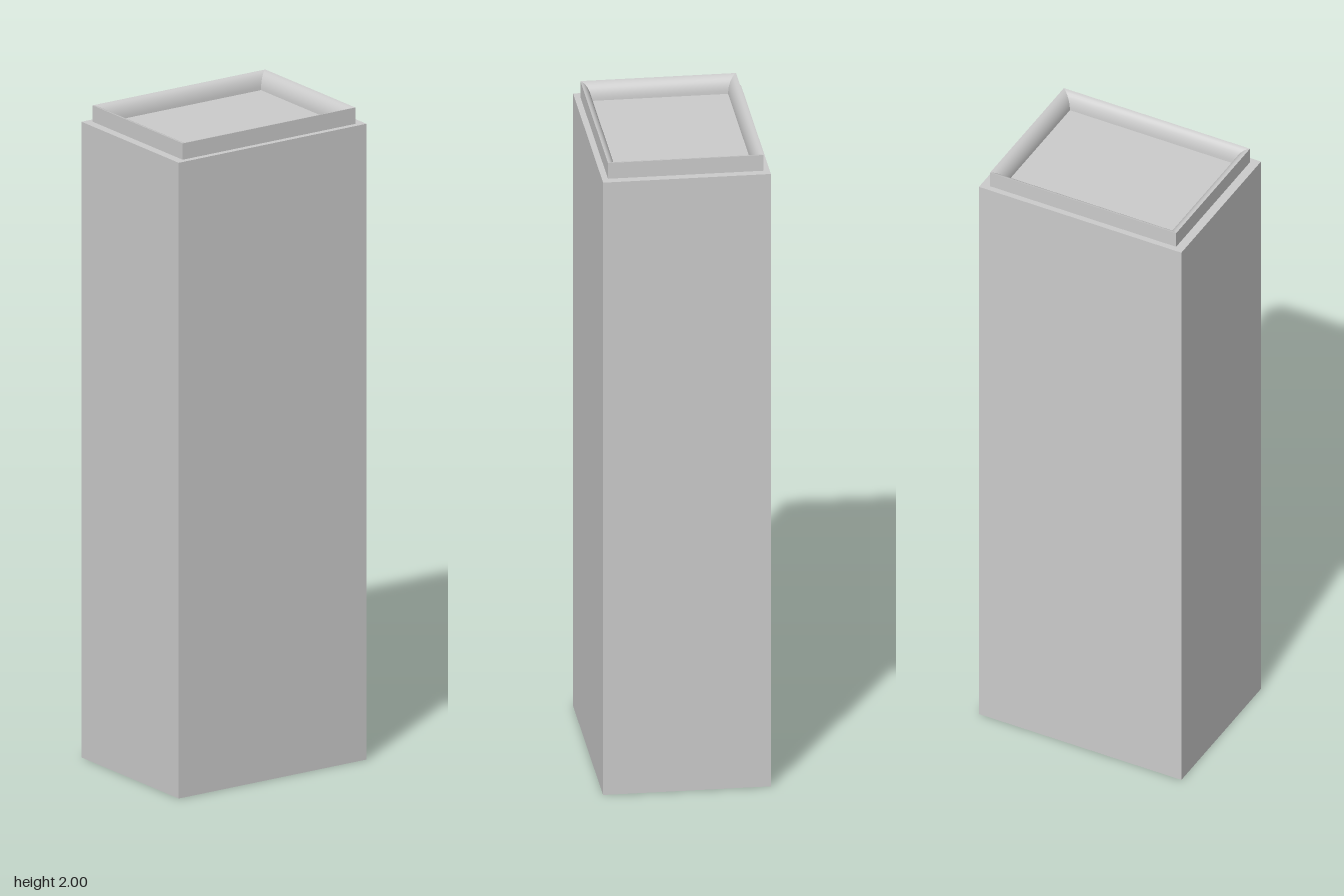
import * as THREE from 'three';

const material = new THREE.MeshStandardMaterial({ color: 0xcccccc, side: THREE.DoubleSide });

// Skin between successive rectangles [halfX, halfZ, y]; one strip per side keeps corners sharp.
function rectangularSkin(name, rings) {
  const corners = [[-1, 1], [1, 1], [1, -1], [-1, -1]];
  const positions = [], indices = [];
  for (let side = 0; side < 4; side++) {
    const start = positions.length / 3;
    for (const [hx, hz, y] of rings) {
      for (const [sx, sz] of [corners[side], corners[(side + 1) % 4]]) {
        positions.push(sx * hx, y, sz * hz);
      }
    }
    for (let i = 0; i < rings.length - 1; i++) {
      const a = start + i * 2;
      indices.push(a, a + 1, a + 3, a, a + 3, a + 2);
    }
  }
  const geometry = new THREE.BufferGeometry();
  geometry.setAttribute('position', new THREE.Float32BufferAttribute(positions, 3));
  geometry.setIndex(indices);
  geometry.computeVertexNormals();
  const mesh = new THREE.Mesh(geometry, material);
  mesh.name = name;
  return mesh;
}

export function createModel() {
  const group = new THREE.Group();
  group.name = 'pillar';

  const body = [0.248, 0.336], rim = [0.23, 0.309], inner = [0.202, 0.274];
  const shoulderY = 1.95, topY = 2;

  // Hollow shaft, open underneath, with a narrow ledge on top
  group.add(rectangularSkin('shaft', [[...body, 0], [...body, shoulderY]]));
  group.add(rectangularSkin('ledge', [[...body, shoulderY], [...rim, shoulderY]]));

  // Raised rim: straight outside, rounded over towards the recess
  group.add(rectangularSkin('rimOutside', [[...rim, shoulderY], [...rim, topY]]));
  const round = [];
  for (let i = 0; i <= 8; i++) {
    const a = (i / 8) * Math.PI / 2;
    const t = Math.sin(a);
    round.push([
      THREE.MathUtils.lerp(rim[0], inner[0], t),
      THREE.MathUtils.lerp(rim[1], inner[1], t),
      shoulderY + (topY - shoulderY) * Math.cos(a),
    ]);
  }
  group.add(rectangularSkin('rimRounding', round));

  // Sunken top panel
  const panel = new THREE.Mesh(new THREE.PlaneGeometry(inner[0] * 2, inner[1] * 2), material);
  panel.name = 'topPanel';
  panel.rotation.x = -Math.PI / 2;
  panel.position.y = shoulderY;
  group.add(panel);

  return group;
}
